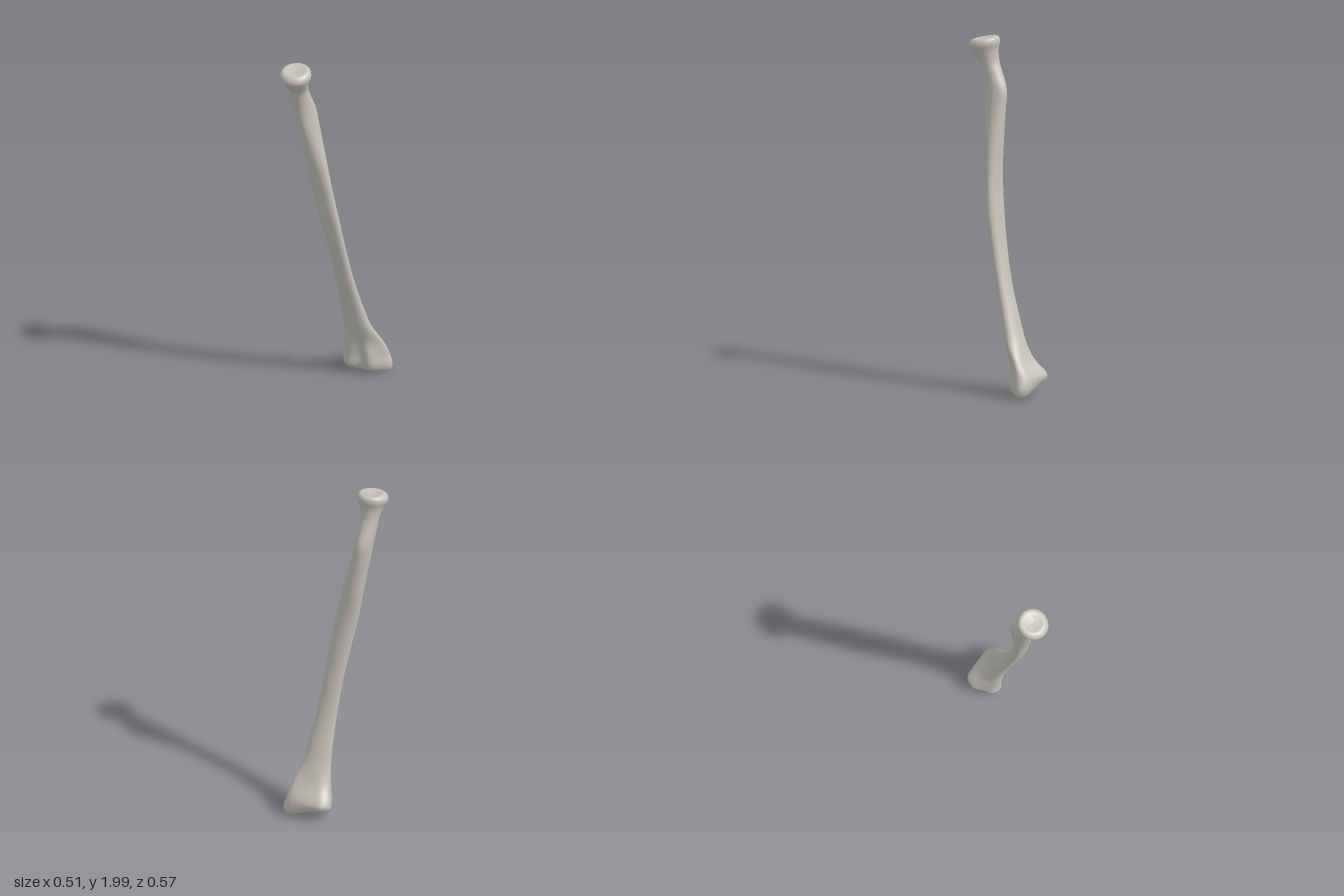
import * as THREE from 'three';

const SIDES = 48, STEPS = 6;

// Twelve-point oval section from its x and z limits; skew leans it diagonally, tilt slopes it in z
function oval(y, x0, x1, z0, z1, skew = 0, tilt = 0) {
  const cx = (x0 + x1) / 2, cz = (z0 + z1) / 2;
  return Array.from({ length: 12 }, (_, i) => {
    const t = i * Math.PI / 6;
    const dz = (z1 - z0) / 2 * Math.sin(t + skew);
    return new THREE.Vector3(cx + (x1 - x0) / 2 * Math.cos(t), y - tilt * dz, cz + dz);
  });
}

// Free section from x, z pairs at one height or at a list of heights
const outline = (y, pairs) => pairs.map(([x, z], i) => new THREE.Vector3(x, Array.isArray(y) ? y[i] : y, z));

// Section drawn in towards a point, for closing an end
const inset = (ring, centre, s) => ring.map(p => p.clone().lerp(centre, s));

// Smooth closed skin through all sections, listed from bottom to top
function loft(rings) {
  const smooth = rings.map(r => {
    const loop = new THREE.CatmullRomCurve3(r, true);
    return Array.from({ length: SIDES }, (_, i) => loop.getPoint(i / SIDES));
  });
  const rows = (rings.length - 1) * STEPS;
  const columns = Array.from({ length: SIDES }, (_, i) =>
    new THREE.CatmullRomCurve3(smooth.map(r => r[i])).getPoints(rows));
  const pos = [], idx = [];
  for (let j = 0; j <= rows; j++) {
    for (let i = 0; i < SIDES; i++) {
      pos.push(...columns[i][j].toArray());
      if (j === rows) continue;
      const a = j * SIDES + i, b = j * SIDES + (i + 1) % SIDES;
      idx.push(a, a + SIDES, b, b, a + SIDES, b + SIDES);
    }
  }
  const g = new THREE.BufferGeometry();
  g.setAttribute('position', new THREE.Float32BufferAttribute(pos, 3));
  g.setIndex(idx);
  g.computeVertexNormals();
  return g;
}

export function createModel() {
  const bone = new THREE.MeshStandardMaterial({ color: 0xc4c1b8 });
  bone.name = 'bone grey';

  // Flared lower end with a pointed tip at its left
  const edge = outline([0.003, 0.018, 0.025, 0.03, 0.035, 0.04, 0.045, 0.06, 0.065, 0.055, 0.035, 0.01], [
    [0.236, -0.205], [0.2, -0.158], [0.155, -0.12], [0.1, -0.12], [0.045, -0.105], [0.008, -0.125],
    [0.0, -0.17], [-0.005, -0.225], [0.03, -0.252], [0.09, -0.25], [0.16, -0.245], [0.215, -0.228]]);
  const lip = outline([0.04, 0.05, 0.055, 0.06, 0.06, 0.065, 0.075, 0.085, 0.085, 0.08, 0.065, 0.045], [
    [0.256, -0.203], [0.212, -0.148], [0.16, -0.104], [0.1, -0.106], [0.04, -0.087], [-0.003, -0.115],
    [-0.012, -0.17], [-0.02, -0.24], [0.025, -0.275], [0.09, -0.268], [0.16, -0.258], [0.235, -0.24]]);
  const flare = outline(0.115, [
    [0.24, -0.195], [0.2, -0.14], [0.155, -0.1], [0.105, -0.104], [0.04, -0.086], [0.0, -0.112],
    [-0.01, -0.17], [-0.018, -0.24], [0.02, -0.279], [0.09, -0.27], [0.16, -0.255], [0.222, -0.232]]);
  const throat = outline(0.2, [
    [0.215, -0.165], [0.18, -0.125], [0.14, -0.098], [0.095, -0.09], [0.04, -0.08], [0.008, -0.1],
    [0.0, -0.135], [0.004, -0.18], [0.04, -0.205], [0.09, -0.207], [0.15, -0.202], [0.2, -0.19]]);
  const socket = new THREE.Vector3(0.11, 0.06, -0.185);

  // Round head with a shallow dish on top
  const rim = oval(1.982, -0.235, -0.1, 0.13, 0.262, 0, 0.2);
  const dish = new THREE.Vector3(-0.168, 1.972, 0.197);

  const geometry = loft([
    inset(edge, socket, 1), inset(edge, socket, 0.5), edge, lip, flare, throat,
    // Curved shaft
    oval(0.3, 0.002, 0.172, -0.162, -0.06, 0.05),
    oval(0.4, 0.0, 0.145, -0.127, -0.037, 0.12),
    oval(0.6, -0.015, 0.105, -0.065, 0.01, 0.2),
    oval(0.8, -0.04, 0.075, -0.02, 0.055, 0.25),
    oval(1.0, -0.075, 0.05, 0.015, 0.095, 0.3),
    oval(1.2, -0.115, 0.015, 0.042, 0.12, 0.2),
    oval(1.4, -0.145, -0.022, 0.045, 0.15, 0.05),
    // Rear swelling below the neck
    oval(1.6, -0.177, -0.067, 0.042, 0.173, -0.15),
    oval(1.7, -0.194, -0.087, 0.043, 0.185, -0.2),
    oval(1.79, -0.208, -0.103, 0.08, 0.203, -0.1),
    // Neck and head
    oval(1.85, -0.217, -0.107, 0.105, 0.22),
    oval(1.905, -0.238, -0.093, 0.114, 0.262, 0, 0.15),
    oval(1.945, -0.258, -0.078, 0.108, 0.285, 0, 0.2),
    oval(1.97, -0.252, -0.084, 0.114, 0.279, 0, 0.2),
    rim, inset(rim, dish, 0.45), inset(rim, dish, 1),
  ]);

  const mesh = new THREE.Mesh(geometry, bone);
  mesh.name = 'forearmBone';
  const group = new THREE.Group();
  group.name = 'bone';
  group.add(mesh);
  return group;
}
